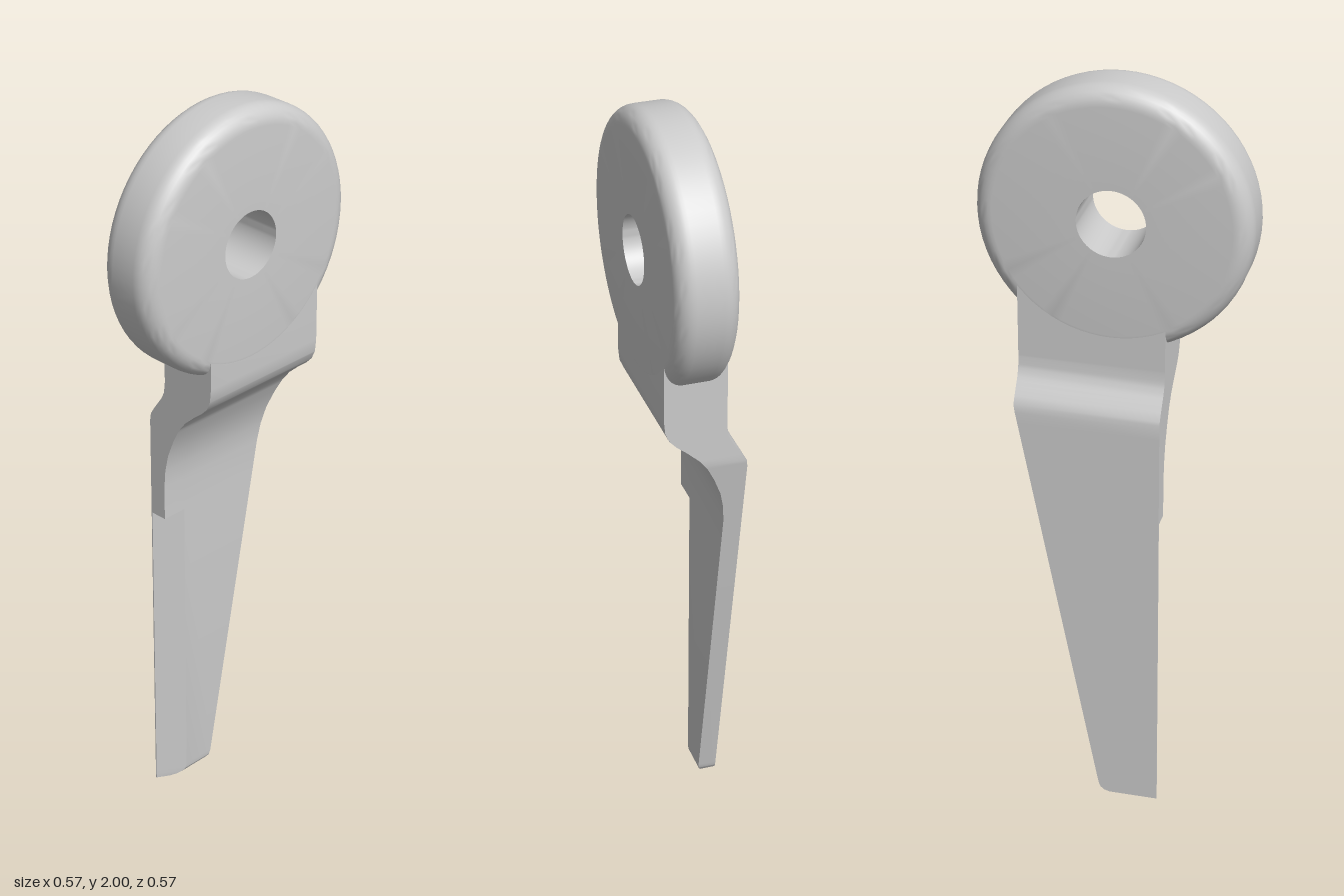
import * as THREE from 'three';
import { toCreasedNormals } from 'three/addons/utils/BufferGeometryUtils.js';

const material = new THREE.MeshStandardMaterial({ color: 0xcccccc });

// Linear interpolation in a short [y, value] table
function lookup(table, y) {
  if (y <= table[0][0]) return table[0][1];
  for (let i = 1; i < table.length; i++) {
    const [y0, v0] = table[i - 1], [y1, v1] = table[i];
    if (y <= y1) return v0 + (v1 - v0) * (y - y0) / (y1 - y0);
  }
  return table[table.length - 1][1];
}

// Round eye with soft rims and a through hole
function makeEye() {
  const R = 0.35, hole = 0.088, half = 0.082, r = 0.048;
  const pts = [new THREE.Vector2(hole, -half)];
  for (const [cy, start] of [[-half + r, -Math.PI / 2], [half - r, 0]]) {
    for (let i = 0; i <= 8; i++) {
      const a = start + (i / 8) * Math.PI / 2;
      pts.push(new THREE.Vector2(R - r + r * Math.cos(a), cy + r * Math.sin(a)));
    }
  }
  pts.push(new THREE.Vector2(hole, half), new THREE.Vector2(hole, -half));
  const geo = toCreasedNormals(new THREE.LatheGeometry(pts, 72), 0.6);
  geo.rotateX(Math.PI / 2);
  const mesh = new THREE.Mesh(geo, material);
  mesh.name = 'eye';
  mesh.position.y = 1.65;
  return mesh;
}

// Neck, offset bend and tapering blade, lofted upwards from cross-sections
function makeBlade() {
  const left = -0.138, bevelTop = 0.855;
  const front = [[0, -0.115], [0.005, -0.103], [0.012, -0.095], [0.02, -0.09], [0.035, -0.088],
    [0.95, -0.088], [1, -0.084], [1.05, -0.073], [1.1, -0.053], [1.14, -0.033], [1.17, -0.01],
    [1.2, 0.023], [1.22, 0.048], [1.24, 0.067], [1.265, 0.078], [1.3, 0.0815]];
  const back = [[1.13, -0.137], [1.15, -0.134], [1.17, -0.122], [1.19, -0.108],
    [1.21, -0.094], [1.23, -0.085], [1.26, -0.0815]];
  const right = [[0, -0.008], [0.004, 0.006], [0.012, 0.016], [0.022, 0.021], [0.035, 0.024],
    [1.15, 0.24]];

  const section = (y, bevelled) => {
    const b = lookup(back, y), f = lookup(front, y), r = lookup(right, y);
    const ridge = bevelled ? left + 0.07 * (f - b) / 0.049 : left + 0.07;
    return [[left, b], [r, b], [r, f], [ridge, f], [left, bevelled ? b + 0.003 : f]]
      .map(([x, z]) => new THREE.Vector3(x, y, z));
  };

  const ys = [...new Set([...front, ...back, ...right].map(p => p[0]).concat(1.5))]
    .sort((a, b) => a - b);
  const rings = [
    ...ys.filter(y => y < bevelTop).map(y => section(y, true)),
    section(bevelTop, true), section(bevelTop, false),
    ...ys.filter(y => y > bevelTop).map(y => section(y, false)),
  ];

  const verts = [];
  const tri = (a, b, c) => {
    const area = b.clone().sub(a).cross(c.clone().sub(a)).length();
    if (area > 1e-9) for (const p of [a, b, c]) verts.push(p.x, p.y, p.z);
  };
  for (let i = 0; i < rings.length - 1; i++) {
    for (let j = 0; j < 5; j++) {
      const k = (j + 1) % 5, lo = rings[i], hi = rings[i + 1];
      tri(lo[j], hi[j], hi[k]);
      tri(lo[j], hi[k], lo[k]);
    }
  }
  // End caps
  const first = rings[0], last = rings[rings.length - 1];
  for (let j = 1; j < 4; j++) {
    tri(first[0], first[j], first[j + 1]);
    tri(last[0], last[j + 1], last[j]);
  }
  const geo = new THREE.BufferGeometry();
  geo.setAttribute('position', new THREE.Float32BufferAttribute(verts, 3));
  const mesh = new THREE.Mesh(toCreasedNormals(geo, 0.5), material);
  mesh.name = 'neckAndBlade';
  return mesh;
}

export function createModel() {
  const group = new THREE.Group();
  group.name = 'bladeLever';
  group.add(makeEye(), makeBlade());
  // The flat faces stand diagonally between the x and z axes
  group.rotation.y = Math.PI / 4;
  return group;
}
